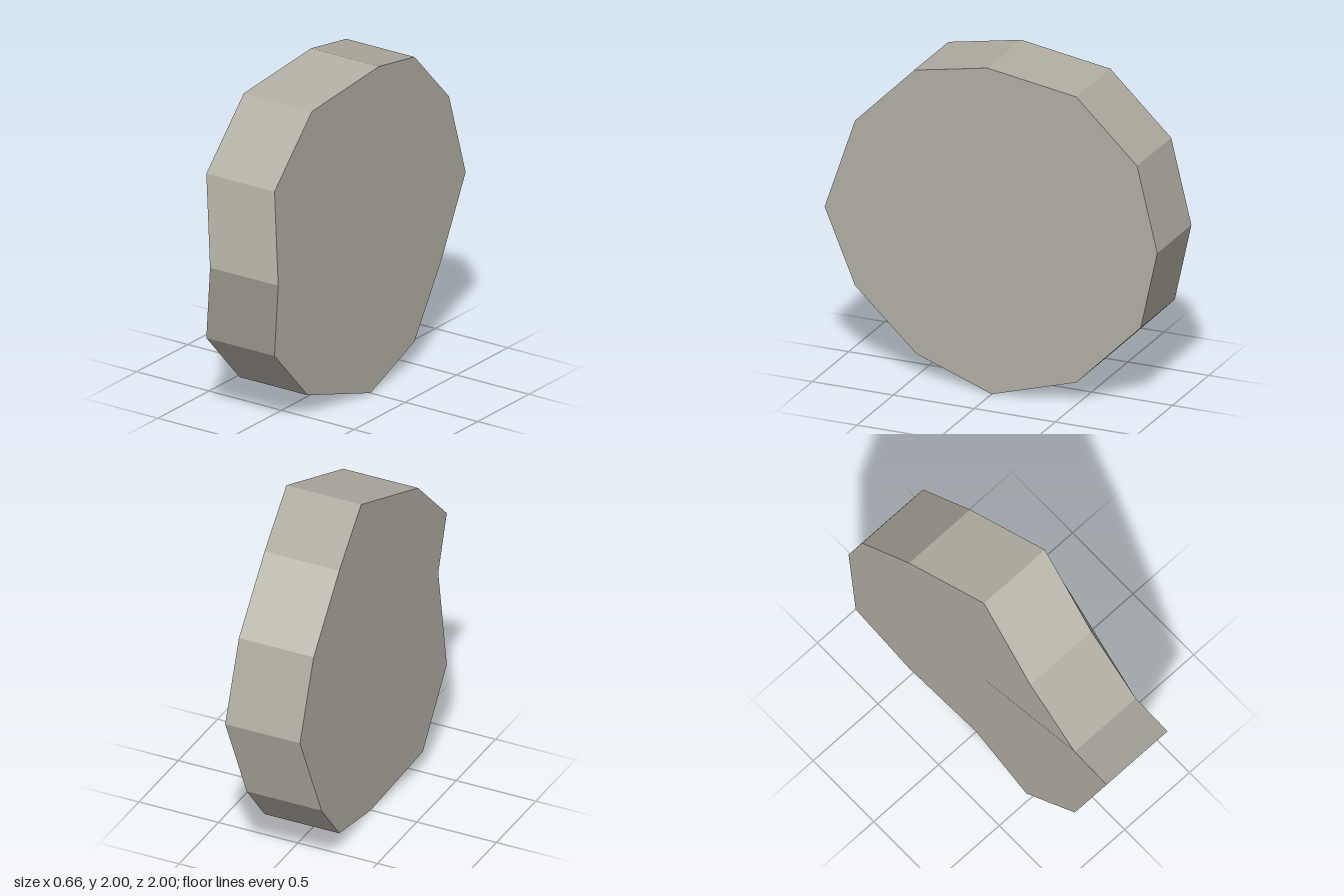
import * as THREE from 'three';

const SIDES = 12;
const WIDTH = 0.47;
// right edge of the rim at each corner, starting at the front and going up
const EDGE = [-0.14, -0.26, -0.26, -0.15, -0.26, -0.28, -0.26, -0.33, -0.26, -0.21, -0.29, -0.26];

function corner(k, side) {
  const a = (k / SIDES) * Math.PI * 2;
  return new THREE.Vector3(EDGE[k % SIDES] + side * WIDTH, 1 + Math.sin(a), Math.cos(a));
}

// point on the rim edge; a fractional k lies between two corners
function rimPoint(k, side) {
  const i = Math.floor(k);
  return corner(i, side).lerp(corner(i + 1, side), k - i);
}

function makeGeometry(points) {
  const geometry = new THREE.BufferGeometry().setFromPoints(points);
  geometry.computeVertexNormals();
  return geometry;
}

// slightly dished face: a fan around the hub plus corner triangles, shaded evenly
function makeFace(side, hub, loop, ears) {
  const points = [];
  const triangle = (a, b, c) => points.push(...(side ? [a, c, b] : [a, b, c]));
  loop.forEach((k, i) => {
    triangle(hub, rimPoint(k, side), rimPoint(loop[(i + 1) % loop.length], side));
  });
  for (const ear of ears) triangle(...ear.map((k) => rimPoint(k, side)));
  const geometry = makeGeometry(points);
  const normal = geometry.attributes.normal;
  for (let i = 0; i < normal.count; i++) normal.setXYZ(i, side ? 1 : -1, 0, 0);
  return geometry;
}

export function createModel() {
  const group = new THREE.Group();
  group.name = 'warpedDisc';
  const stone = new THREE.MeshStandardMaterial({ color: 0xb1ada2 });
  stone.name = 'warm grey stone';

  const add = (name, geometry) => {
    const mesh = new THREE.Mesh(geometry, stone);
    mesh.name = name;
    group.add(mesh);
  };

  // faceted rim: one flat quad per side
  const rim = [];
  for (let k = 0; k < SIDES; k++) {
    const a = corner(k, 0), b = corner(k, 1), c = corner(k + 1, 1), d = corner(k + 1, 0);
    rim.push(a, b, c, a, c, d);
  }
  add('rim', makeGeometry(rim));

  // left face, creased from the hub to four points along the rim
  add('leftFace', makeFace(1, new THREE.Vector3(0.19, 0.85, 0.2),
    [0, 1, 2.65, 4.35, 5, 6, 7, 8, 8.7, 10.27, 11],
    [[1, 2, 2.65], [2.65, 3, 4], [2.65, 4, 4.35], [8.7, 9, 10], [8.7, 10, 10.27]]));

  // right face, a plain fan
  add('rightFace', makeFace(0, new THREE.Vector3(-0.2, 0.95, 0.05), [...EDGE.keys()], []));
  return group;
}
